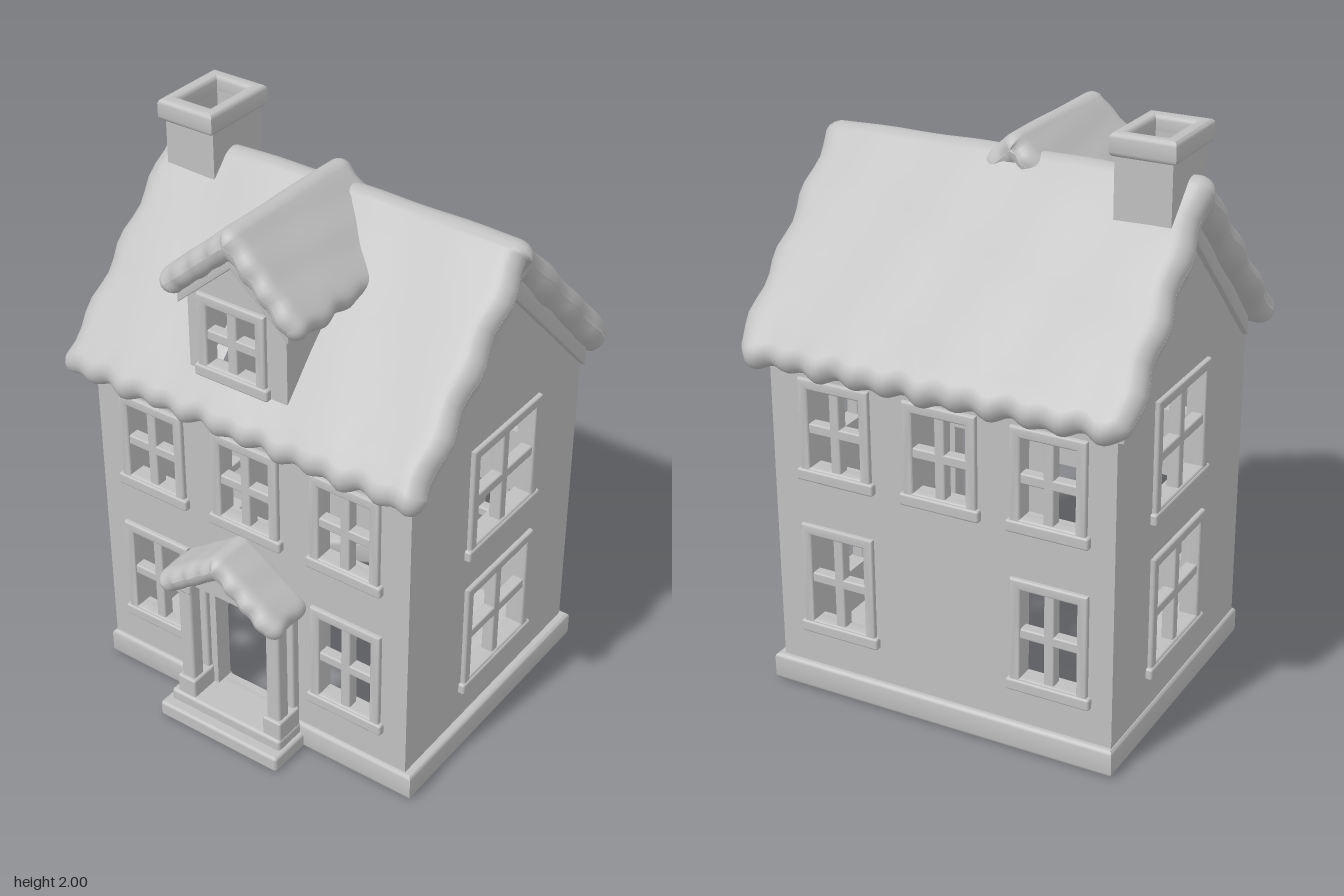
import * as THREE from 'three';
import { toCreasedNormals } from 'three/addons/utils/BufferGeometryUtils.js';
import { RoundedBoxGeometry } from 'three/addons/geometries/RoundedBoxGeometry.js';

const clay = new THREE.MeshStandardMaterial({ color: 0xc0c0c0, side: THREE.DoubleSide });
clay.name = 'grey clay';

function add(parent, name, geometry, x = 0, y = 0, z = 0) {
  const mesh = new THREE.Mesh(geometry, clay);
  mesh.name = name;
  mesh.position.set(x, y, z);
  parent.add(mesh);
  return mesh;
}

// Soft-edged box given by its limits
function block(parent, name, x0, x1, y0, y1, z0, z1, r = 0.012) {
  const geo = new RoundedBoxGeometry(x1 - x0, y1 - y0, z1 - z0, 2, r);
  return add(parent, name, geo, (x0 + x1) / 2, (y0 + y1) / 2, (z0 + z1) / 2);
}

const poly = (pts) => new THREE.Shape(pts.map(([x, y]) => new THREE.Vector2(x, y)));
const rect = (x0, x1, y0, y1) => poly([[x0, y0], [x1, y0], [x1, y1], [x0, y1]]);

// Plate from z0 to z1 with optional holes and a soft bevel
function plate(shape, holes, z0, z1, bevel = 0) {
  shape.holes.push(...holes);
  const geo = new THREE.ExtrudeGeometry(shape, {
    depth: z1 - z0 - 2 * bevel, bevelEnabled: bevel > 0, bevelSize: bevel,
    bevelThickness: bevel, bevelOffset: -bevel, bevelSegments: 3, curveSegments: 40,
  });
  geo.translate(0, 0, z0 + bevel);
  return toCreasedNormals(geo, 0.6);
}

// Window: proud frame, sill and crossed bars around the opening [x0, x1, y0, y1]
function addWindow(parent, [x0, x1, y0, y1]) {
  const g = new THREE.Group();
  g.name = 'window';
  const f = 0.036, bar = 0.018, mx = (x0 + x1) / 2, my = (y0 + y1) / 2;
  add(g, 'windowFrame', plate(rect(x0 - f, x1 + f, y0 - f, y1 + f), [rect(x0, x1, y0, y1)], -0.04, 0.016, 0.007));
  block(g, 'windowSill', x0 - f - 0.012, x1 + f + 0.012, y0 - f - 0.012, y0 - 0.006, -0.01, 0.022, 0.008);
  block(g, 'uprightBar', mx - bar, mx + bar, y0 - 0.01, y1 + 0.01, -0.035, 0.008, 0.006);
  block(g, 'crossBar', x0 - 0.01, x1 + 0.01, my - bar, my + bar, -0.035, 0.008, 0.006);
  parent.add(g);
}

// Wall with its outer face on local z = 0
function addWall(parent, name, outline, windows, extraHoles = [], t = 0.05) {
  const g = new THREE.Group();
  g.name = name;
  const holes = windows.map(([a, b, c, d]) => rect(a, b, c, d));
  add(g, name + 'Panel', plate(poly(outline), [...holes, ...extraHoles], -t, 0));
  windows.forEach((w) => addWindow(g, w));
  parent.add(g);
  return g;
}

// Thin trim following a gable, falling away from its apex
function gableTrim(cx, apex, half, drop, thick, z0, z1) {
  return plate(poly([[cx - half, apex - drop], [cx, apex], [cx + half, apex - drop],
    [cx + half, apex - drop - thick], [cx, apex - thick], [cx - half, apex - drop - thick]]), [], z0, z1, 0.004);
}

// Thick wavy pitched roof: rounded chevron section in x-y, swept along z
function snowRoof({ apex, left, right, r, w0, w1, wave, skip = () => false }) {
  const loop = [], steps = 16, arc = 8;
  const side = (end) => {
    const d = new THREE.Vector2(end[0] - apex[0], end[1] - apex[1]).normalize();
    const n = new THREE.Vector2(-d.y, d.x);
    if (n.y < 0) n.negate();
    return { end, d, n };
  };
  const L = side(left), R = side(right);
  const mitre = new THREE.Vector2(0, -1 / ((L.n.y + R.n.y) / 2));
  const put = (s, t, n, sign) => loop.push({
    cx: apex[0] + (s.end[0] - apex[0]) * t, cy: apex[1] + (s.end[1] - apex[1]) * t, n, t, d: s.d, sign });
  const fan = (s, t, a, b, sign) => {
    for (let k = 1; k < arc; k++) {
      const q = a + (b - a) * k / arc;
      put(s, t, new THREE.Vector2(Math.cos(q), Math.sin(q)), sign);
    }
  };
  const aL = L.n.angle(), aR = R.n.angle();
  for (let k = 0; k <= steps; k++) put(L, 1 - k / steps, L.n, -1);
  fan(R, 0, aL, aR, 1);
  for (let k = 0; k <= steps; k++) put(R, k / steps, R.n, 1);
  fan(R, 1, aR, aR - Math.PI, 1);
  for (let k = 0; k <= steps; k++) put(R, 1 - k / steps, R.n.clone().negate().lerp(mitre, k / steps), 1);
  for (let k = 1; k <= steps; k++) put(L, k / steps, mitre.clone().lerp(L.n.clone().negate(), k / steps), -1);
  fan(L, 1, aL + Math.PI, aL, -1);

  // Stations along the ridge, rounded off at both ends
  const stations = [], cap = 6, mid = Math.max(16, Math.round((w1 - w0) * 50));
  for (let k = 0; k <= cap; k++) {
    const a = k / cap * Math.PI / 2;
    stations.push([w0 + r * (1 - Math.sin(Math.PI / 2 - (Math.PI / 2 - a))), Math.max(0.01, Math.sin(a))]);
    stations[k][0] = w0 + r * (1 - Math.cos(a));
  }
  for (let k = 1; k < mid; k++) stations.push([w0 + r + (w1 - w0 - 2 * r) * k / mid, 1]);
  for (let k = cap; k >= 0; k--) {
    const a = k / cap * Math.PI / 2;
    stations.push([w1 - r * (1 - Math.cos(a)), Math.max(0.01, Math.sin(a))]);
  }
  const pos = [], idx = [], m = loop.length;
  stations.forEach(([w, s]) => loop.forEach((p) => {
    const drip = wave * p.t ** 4 * (Math.sin(w * 52 + p.sign) + 0.5 * Math.sin(w * 31 + 2));
    const fat = r * s * (1 + wave * 5 * Math.sin(p.t * 13 + w * 5 + p.sign) + wave * 3 * Math.sin(w * 17 - p.t * 4));
    const edge = ((w - w0) / (w1 - w0) * 2 - 1) ** 5;
    const dw = wave * edge * (Math.sin(p.t * 21 + p.sign * 2) + p.t);
    pos.push(p.cx + p.n.x * fat + p.d.x * drip, p.cy + p.n.y * fat + p.d.y * drip, w + dw);
  }));
  for (let i = 0; i < stations.length - 1; i++) for (let j = 0; j < m; j++) {
    const k = (j + 1) % m;
    if (skip(stations[i][0], loop[j])) continue;
    const a = i * m + j, b = a + m, c = i * m + k, d = c + m;
    idx.push(a, b, c, b, d, c);
  }
  const geo = new THREE.BufferGeometry();
  geo.setAttribute('position', new THREE.Float32BufferAttribute(pos, 3));
  geo.setIndex(idx);
  geo.computeVertexNormals();
  return geo;
}

export function createModel() {
  const house = new THREE.Group();
  house.name = 'house';

  // Base slab with a round opening underneath
  const hole = new THREE.Path().absarc(0.015, 0.025, 0.46, 0, Math.PI * 2, true);
  const base = plate(rect(-0.62, 0.65, -0.485, 0.54), [hole], 0, 0.1, 0.015);
  add(house, 'base', base.rotateX(-Math.PI / 2));

  // Front and back walls, with matching windows
  const upper = [-0.385, -0.005, 0.38].map((x) => [x - 0.095, x + 0.095, 0.84, 1.115]);
  const lower = [-0.39, 0.385].map((x) => [x - 0.1, x + 0.1, 0.272, 0.592]);
  const panes = [...upper, ...lower];
  const flip = ([a, b, c, d]) => [-b, -a, c, d];
  addWall(house, 'frontWall', [[-0.61, 0.09], [0.62, 0.09], [0.62, 1.22], [-0.61, 1.22]], panes,
    [rect(-0.14, 0.105, 0.1, 0.54)]).position.z = 0.47;
  const back = addWall(house, 'backWall', [[-0.62, 0.09], [0.61, 0.09], [0.61, 1.22], [-0.62, 1.22]], panes.map(flip));
  back.position.z = -0.52;
  back.rotation.y = Math.PI;

  // Gable walls, with a trim below the roof
  for (const s of [1, -1]) {
    const c = s * 0.055, a = s * 0.04;
    const outline = [[-s * 0.47, 0.09], [s * 0.52, 0.09], [s * 0.52, 1.22], [a, 1.74], [-s * 0.47, 1.22]];
    const wall = addWall(house, s > 0 ? 'leftWall' : 'rightWall', outline,
      [[c - 0.165, c + 0.165, 0.82, 1.157], [c - 0.165, c + 0.165, 0.26, 0.612]]);
    add(wall, 'gableTrim', gableTrim(a, 1.73, 0.48, 0.485, 0.08, -0.01, 0.02));
    wall.position.x = s > 0 ? 0.62 : -0.61;
    wall.rotation.y = s * Math.PI / 2;
  }

  // Main roof, open beneath the dormer
  const roof = snowRoof({ apex: [0.04, 1.797], left: [-0.5, 1.248], right: [0.58, 1.248], r: 0.056,
    w0: -0.68, w1: 0.675, wave: 0.01,
    skip: (w, p) => p.sign < 0 && w > -0.19 && w < 0.12 && p.t > 0.35 && p.t < 0.87 });
  add(house, 'mainRoof', roof.rotateY(Math.PI / 2));

  // Dormer
  const dormer = new THREE.Group();
  dormer.name = 'dormer';
  house.add(dormer);
  addWall(dormer, 'dormerFront', [[-0.215, 1.325], [0.16, 1.325], [0.16, 1.66], [-0.03, 1.82], [-0.215, 1.66]],
    [[-0.135, 0.05, 1.4, 1.61]], [], 0.03).position.z = 0.465;
  for (const x of [-0.215, 0.13]) {
    const cheek = plate(poly([[-0.46, 1.3], [-0.1, 1.67], [-0.46, 1.67]]), [], 0, 0.03);
    add(dormer, 'dormerCheek', cheek.rotateY(Math.PI / 2), x);
  }
  add(dormer, 'dormerTrim', gableTrim(-0.03, 1.825, 0.21, 0.185, 0.05, 0.455, 0.485));
  add(dormer, 'dormerRoof', snowRoof({ apex: [-0.03, 1.862], left: [-0.262, 1.656], right: [0.198, 1.656],
    r: 0.045, w0: -0.105, w1: 0.51, wave: 0.006 }));

  // Porch: steps, posts, door frame and small roof
  const porch = new THREE.Group();
  porch.name = 'porch';
  house.add(porch);
  block(porch, 'lowerStep', -0.275, 0.22, 0, 0.06, 0.45, 0.64);
  block(porch, 'upperStep', -0.255, 0.205, 0.05, 0.1, 0.45, 0.6);
  for (const x of [-0.195, 0.165]) {
    block(porch, 'postFoot', x - 0.037, x + 0.037, 0.09, 0.17, 0.48, 0.59, 0.008);
    block(porch, 'post', x - 0.027, x + 0.027, 0.16, 0.56, 0.525, 0.578, 0.01);
    block(porch, 'postCap', x - 0.036, x + 0.036, 0.545, 0.585, 0.46, 0.59, 0.008);
    block(porch, 'pilaster', x - 0.027, x + 0.027, 0.1, 0.56, 0.45, 0.5, 0.008);
  }
  add(porch, 'doorFrame', plate(rect(-0.165, 0.135, 0.1, 0.565), [rect(-0.14, 0.105, 0.1, 0.54)], 0.43, 0.485));
  add(porch, 'pediment', plate(poly([[-0.215, 0.565], [0.18, 0.565], [0.18, 0.59], [-0.02, 0.72], [-0.215, 0.59]]), [], 0.46, 0.56));
  add(porch, 'porchTrim', gableTrim(-0.02, 0.715, 0.2, 0.135, 0.035, 0.46, 0.59));
  add(porch, 'porchRoof', snowRoof({ apex: [-0.018, 0.744], left: [-0.22, 0.6], right: [0.188, 0.6],
    r: 0.041, w0: 0.44, w1: 0.64, wave: 0.006 }));

  // Hollow chimney with a rounded cap
  const chimney = new THREE.Group();
  chimney.name = 'chimney';
  house.add(chimney);
  const flue = () => rect(-0.585, -0.46, -0.025, 0.165);
  const stack = plate(rect(-0.615, -0.425, -0.06, 0.19), [flue()], 1.62, 1.95);
  add(chimney, 'chimneyStack', stack.rotateX(-Math.PI / 2));
  const cap = plate(rect(-0.632, -0.415, -0.078, 0.21), [flue()], 1.925, 2, 0.016);
  add(chimney, 'chimneyCap', cap.rotateX(-Math.PI / 2));
  return house;
}
